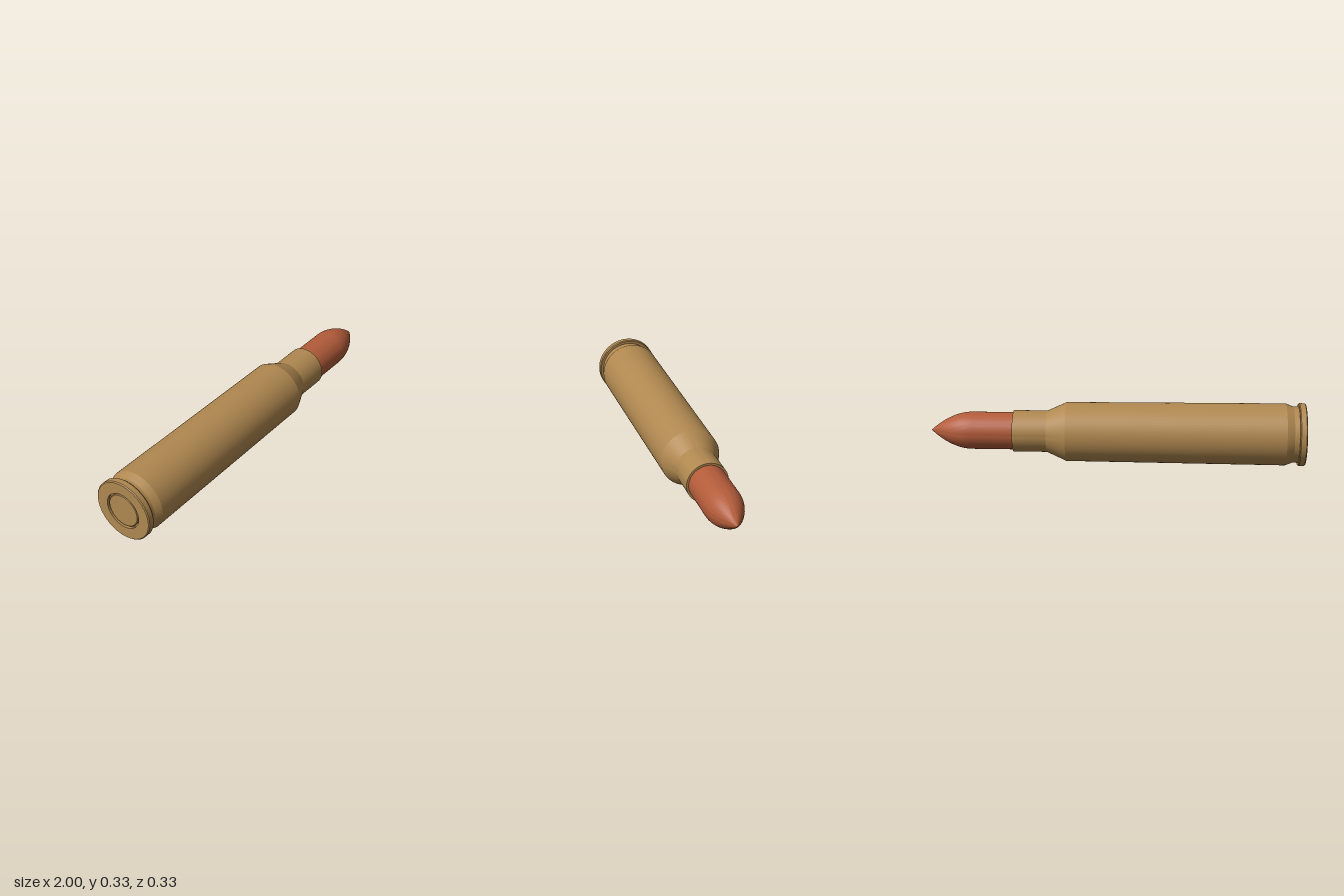
import * as THREE from 'three';
import { toCreasedNormals } from 'three/addons/utils/BufferGeometryUtils.js';

const AXIS_Y = 0.167;
const brass = new THREE.MeshStandardMaterial({ color: 0xb08850 });
const copper = new THREE.MeshStandardMaterial({ color: 0xb35c3a });

// Turns a profile of [x along the axis, radius] pairs, rear to front
function turned(name, profile, material) {
  const points = profile.map(([x, r]) => new THREE.Vector2(r, x));
  const geometry = toCreasedNormals(new THREE.LatheGeometry(points, 72), 0.3);
  geometry.rotateZ(-Math.PI / 2);
  geometry.translate(0, AXIS_Y, 0);
  const mesh = new THREE.Mesh(geometry, material);
  mesh.name = name;
  return mesh;
}

export function createModel() {
  const group = new THREE.Group();
  group.name = 'cartridge';

  // Case: primer pocket, rim, extractor groove, tapered body, shoulder, neck
  group.add(turned('case', [
    [-0.985, 0], [-0.985, 0.1], [-1, 0.1],
    [-1, 0.162], [-0.995, 0.167], [-0.967, 0.167], [-0.962, 0.163],
    [-0.962, 0.149], [-0.935, 0.149], [-0.895, 0.165],
    [0.27, 0.158], [0.375, 0.111], [0.555, 0.111],
    [0.555, 0.099], [0.5, 0.099],
  ], brass));

  // Primer cap set in the rear pocket
  group.add(turned('primer', [
    [-0.997, 0], [-0.997, 0.088], [-0.993, 0.092], [-0.984, 0.092],
  ], brass));

  // Projectile: straight shank, then a curved nose
  const nose = [[0.5, 0], [0.5, 0.1]];
  for (let i = 0; i <= 16; i++) {
    const t = i / 16;
    nose.push([0.775 + 0.225 * t, 0.1 * (1 - t * t)]);
  }
  group.add(turned('projectile', nose, copper));

  return group;
}
